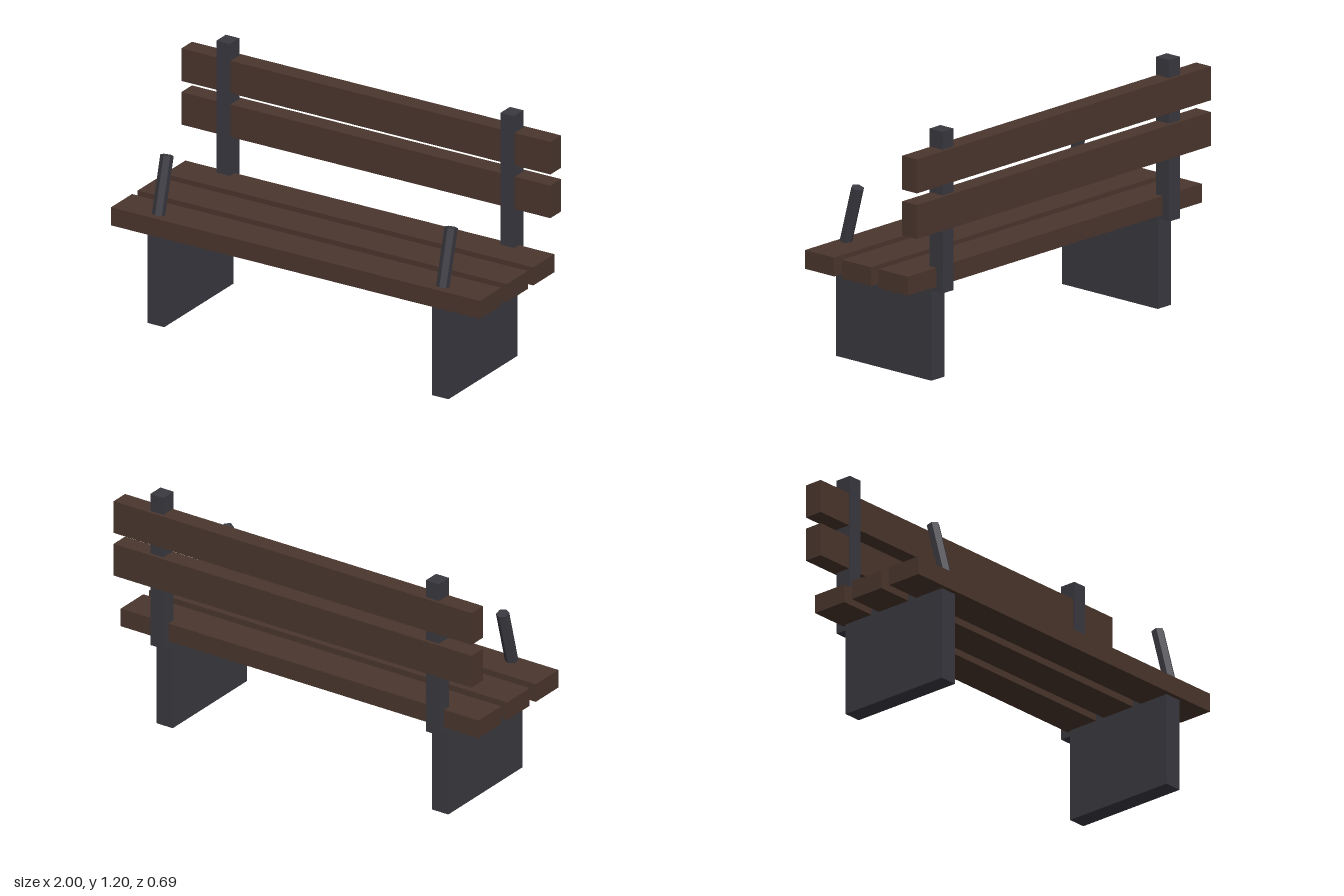
import * as THREE from 'three';

export function createModel() {
  const bench = new THREE.Group();
  bench.name = 'parkBench';

  const wood = new THREE.MeshStandardMaterial({ color: 0x4a362d });
  wood.name = 'darkWood';
  const iron = new THREE.MeshStandardMaterial({ color: 0x3a3940 });
  iron.name = 'darkIron';

  function add(name, geometry, material, x, y, z) {
    const mesh = new THREE.Mesh(geometry, material);
    mesh.name = name;
    mesh.position.set(x, y, z);
    bench.add(mesh);
    return mesh;
  }

  // Three seat planks, front to back
  const seatPlank = new THREE.BoxGeometry(2, 0.09, 0.18);
  [0.256, 0.028, -0.199].forEach((z, i) => add(`seatPlank${i + 1}`, seatPlank, wood, 0, 0.497, z));

  // Two backrest planks
  const backPlank = new THREE.BoxGeometry(2, 0.162, 0.091);
  [0.815, 1.033].forEach((y, i) => add(`backPlank${i + 1}`, backPlank, wood, 0, y, -0.3));

  // Supports mirrored on both sides
  const leg = new THREE.BoxGeometry(0.09, 0.5, 0.591);
  const post = new THREE.BoxGeometry(0.073, 0.772, 0.081);
  // Hexagonal bar; non-indexed so each side shades flat
  const bar = new THREE.CylinderGeometry(0.031, 0.031, 0.28, 6).toNonIndexed();
  bar.computeVertexNormals();

  for (const [side, s] of [['left', 1], ['right', -1]]) {
    add(`${side}Leg`, leg, iron, s * 0.77, 0.25, 0.0285);
    add(`${side}BackPost`, post, iron, s * 0.77, 0.814, -0.289);
    // Armrest bar leaning backward
    add(`${side}ArmBar`, bar, iron, s * 0.77, 0.678, 0.266).rotation.x = -0.262;
  }

  return bench;
}
